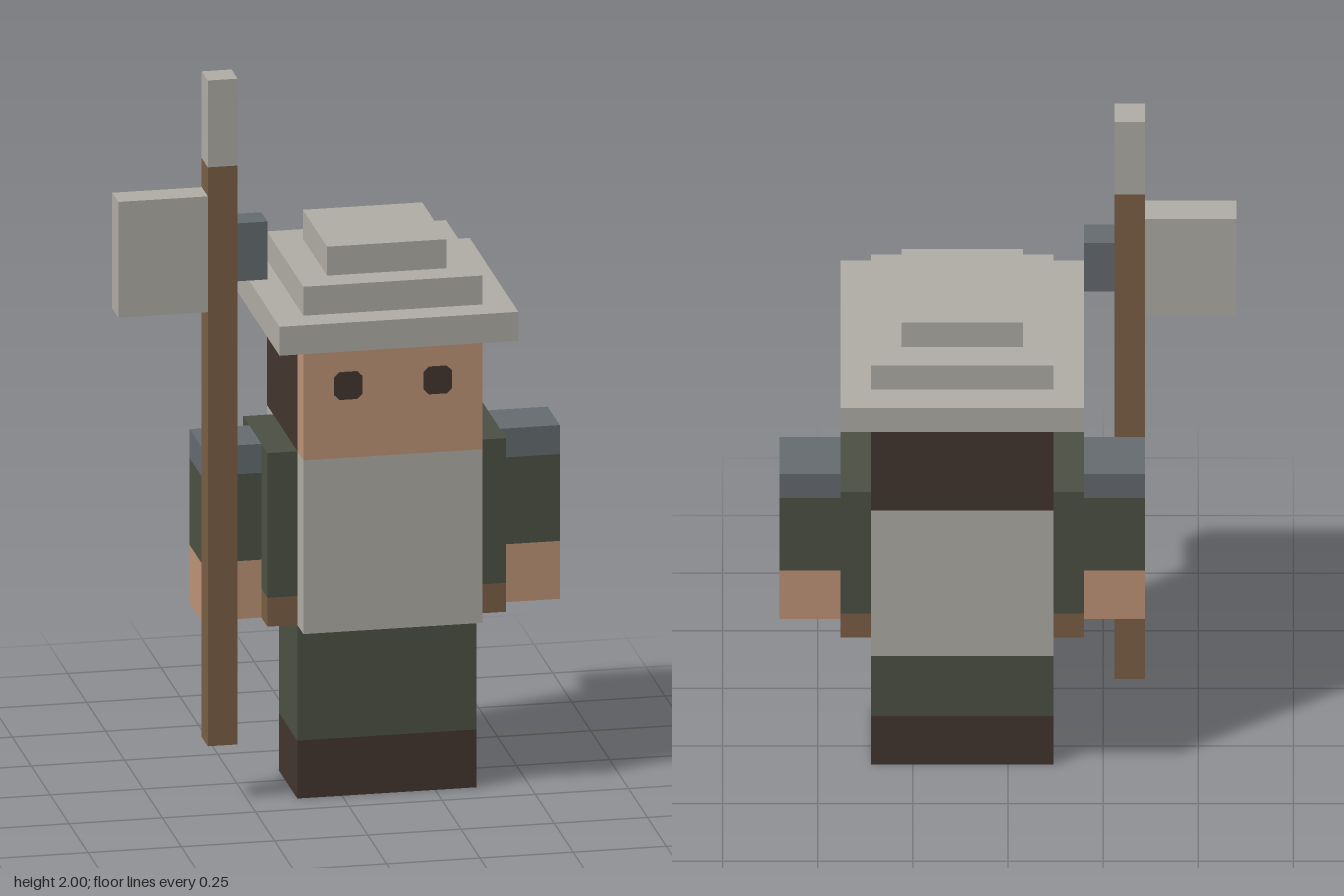
import * as THREE from 'three';

const mat = (name, color) => {
  const m = new THREE.MeshStandardMaterial({ color });
  m.name = name;
  return m;
};

export function createModel() {
  const iron = mat('pale iron', 0xb0ada6);
  const steel = mat('blue steel', 0x656b70);
  const skin = mat('skin', 0xbf9477);
  const dark = mat('dark brown', 0x43352f);
  const cloth = mat('green cloth', 0x4c5144);
  const wood = mat('brown leather and wood', 0x7a5f45);

  const model = new THREE.Group();
  model.name = 'guard';
  const group = (name) => {
    const g = new THREE.Group();
    g.name = name;
    model.add(g);
    return g;
  };
  // box given by its limits on each axis
  const box = (parent, name, material, [x0, x1], [y0, y1], [z0, z1]) => {
    const mesh = new THREE.Mesh(new THREE.BoxGeometry(x1 - x0, y1 - y0, z1 - z0), material);
    mesh.position.set((x0 + x1) / 2, (y0 + y1) / 2, (z0 + z1) / 2);
    mesh.name = name;
    parent.add(mesh);
    return mesh;
  };
  const cx = 0.12; // the body stands off centre, beside the halberd
  const wide = (half) => [cx - half, cx + half];

  // legs
  const legs = group('legs');
  box(legs, 'boots', dark, wide(0.24), [0, 0.16], [-0.08, 0.16]);
  box(legs, 'trousers', cloth, wide(0.24), [0.16, 0.48], [-0.08, 0.16]);

  // torso with belt, breastplate and backplate (leather underneath)
  const torso = group('torso');
  box(torso, 'belt', wood, wide(0.32), [0.48, 0.56], [-0.16, 0.16]);
  box(torso, 'tunic', cloth, wide(0.32), [0.56, 0.96], [-0.16, 0.16]);
  const plate = [iron, iron, iron, wood, iron, iron];
  box(torso, 'breastplate', plate, wide(0.24), [0.48, 0.96], [0.16, 0.24]);
  box(torso, 'backplate', plate, wide(0.24), [0.48, 0.96], [-0.24, -0.16]);

  // arms
  for (const [side, x] of [['left', [0.44, 0.6]], ['right', [-0.36, -0.2]]]) {
    const arm = group(side + 'Arm');
    box(arm, 'hand', skin, x, [0.48, 0.64], [-0.08, 0.08]);
    box(arm, 'sleeve', cloth, x, [0.64, 0.88], [-0.08, 0.08]);
    box(arm, 'shoulderGuard', steel, x, [0.88, 0.96], [-0.08, 0.08]);
  }

  // head
  const head = group('head');
  box(head, 'face', skin, wide(0.24), [0.96, 1.28], [0.16, 0.24]);
  box(head, 'hair', dark, wide(0.24), [0.96, 1.28], [-0.24, 0.16]);

  // eyes: squares with clipped corners
  const r = 0.038, c = 0.024;
  const eyeShape = new THREE.Shape([
    [r, -c], [r, c], [c, r], [-c, r], [-r, c], [-r, -c], [-c, -r], [c, -r],
  ].map(([x, y]) => new THREE.Vector2(x, y)));
  const eyeGeometry = new THREE.ExtrudeGeometry(eyeShape, { depth: 0.004, bevelEnabled: false });
  for (const s of [-1, 1]) {
    const eye = new THREE.Mesh(eyeGeometry, dark);
    eye.position.set(cx + s * 0.12, 1.16, 0.24);
    eye.name = s > 0 ? 'leftEye' : 'rightEye';
    head.add(eye);
  }

  // stepped helmet
  const helmet = group('helmet');
  ['brim', 'crown', 'cap'].forEach((name, i) => {
    const half = 0.32 - i * 0.08, y = 1.28 + i * 0.08;
    box(helmet, name, iron, wide(half), [y, y + 0.08], [-half, half]);
  });

  // halberd
  const halberd = group('halberd');
  const z = [0.08, 0.16];
  box(halberd, 'shaft', wood, [-0.36, -0.28], [0.16, 1.76], z);
  box(halberd, 'spearTip', iron, [-0.36, -0.28], [1.76, 2], z);
  box(halberd, 'axeBlade', iron, [-0.6, -0.36], [1.36, 1.68], z);
  box(halberd, 'backSpike', steel, [-0.28, -0.2], [1.44, 1.6], z);

  return model;
}
